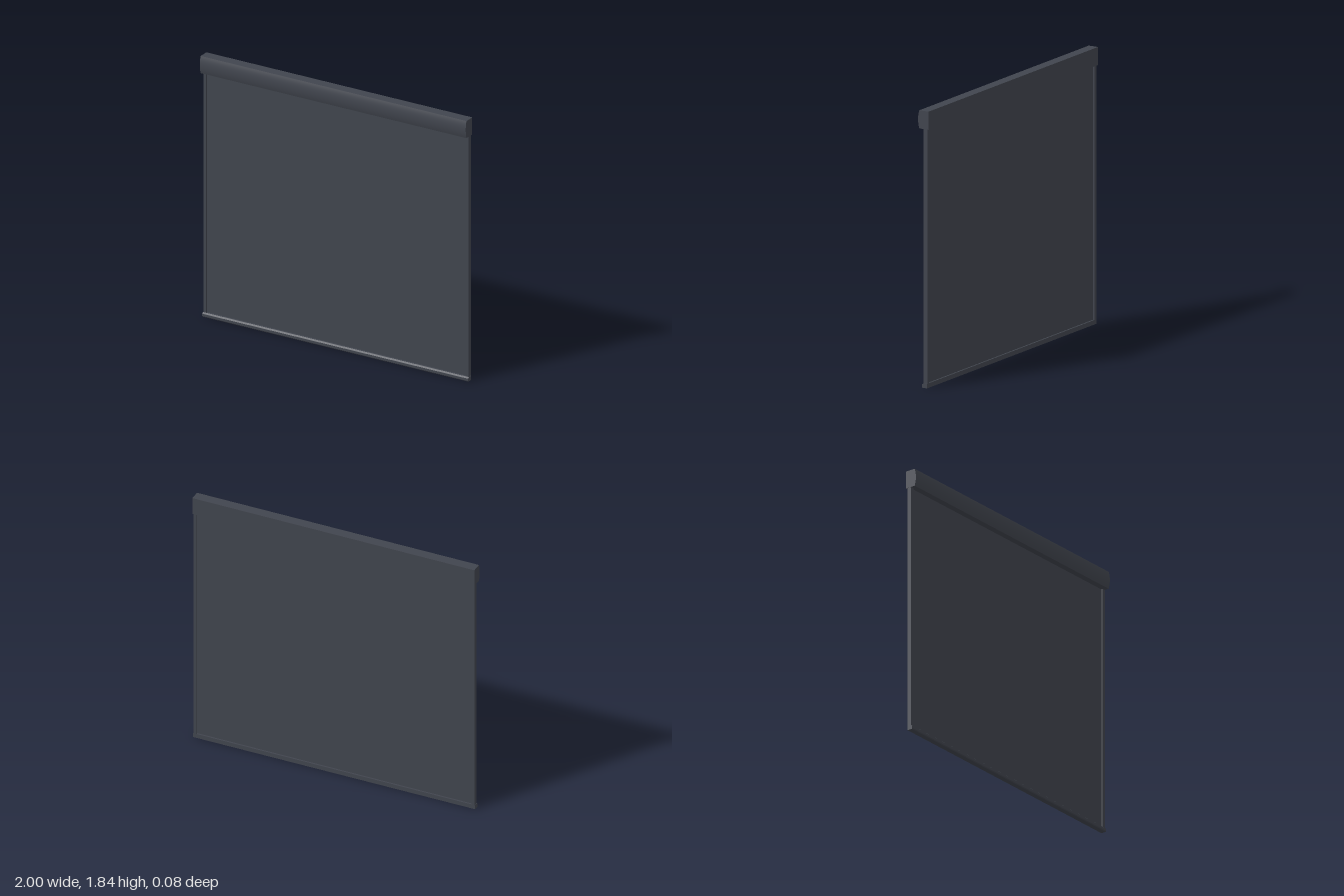
import * as THREE from 'three';
import { toCreasedNormals } from 'three/addons/utils/BufferGeometryUtils.js';

const material = new THREE.MeshStandardMaterial({ color: 0x41454e });

// Shape from [z, y] points
function section(points) {
  return new THREE.Shape(points.map(([z, y]) => new THREE.Vector2(-z, y)));
}

// Extrude a z-y section along x, centred on x = 0
function alongX(shape, length) {
  const geo = new THREE.ExtrudeGeometry(shape, { depth: length, bevelEnabled: false, curveSegments: 12 });
  geo.translate(0, 0, -length / 2).rotateY(Math.PI / 2);
  return toCreasedNormals(geo, 0.5);
}

export function createModel() {
  const group = new THREE.Group();
  const add = (name, geo, x = 0, y = 0, z = 0) => {
    const mesh = new THREE.Mesh(geo, material);
    mesh.name = name;
    mesh.position.set(x, y, z);
    group.add(mesh);
    return mesh;
  };

  // Cassette with flat back and bowed front, closed by end caps
  const cassette = new THREE.Shape();
  cassette.moveTo(0.04, 1.715);
  cassette.lineTo(0.04, 1.835);
  cassette.lineTo(-0.03, 1.835);
  cassette.quadraticCurveTo(-0.05, 1.775, -0.03, 1.715);
  cassette.closePath();
  add('cassette', alongX(cassette, 1.99));
  for (const side of [-1, 1]) {
    add(side > 0 ? 'leftEndCap' : 'rightEndCap', alongX(cassette, 0.005), side * 0.9975);
  }

  // Side guide rails: channels open towards the fabric
  const railHeight = 1.69;
  const channel = new THREE.Shape([
    [0, 0], [0.022, 0], [0.022, 0.03], [0, 0.03],
    [0, 0.019], [0.016, 0.019], [0.016, 0.011], [0, 0.011],
  ].map(([x, y]) => new THREE.Vector2(x, y)));
  for (const side of [-1, 1]) {
    const geo = new THREE.ExtrudeGeometry(channel, { depth: railHeight, bevelEnabled: false });
    geo.rotateX(-Math.PI / 2);
    if (side < 0) geo.rotateY(Math.PI).translate(0, 0, -0.03);
    add(side > 0 ? 'leftRail' : 'rightRail', geo, side * 0.976, 0.028, 0);
  }

  // Fabric sheet held in the channels
  add('fabric', new THREE.BoxGeometry(1.97, 1.7, 0.004), 0, 0.87, -0.015);

  // Bottom bar with a chamfered front lip
  add('bottomBar', alongX(section([
    [-0.028, 0], [-0.028, 0.03], [0, 0.03], [0.01, 0.022], [0.01, 0.006], [0.006, 0],
  ]), 2));

  return group;
}
